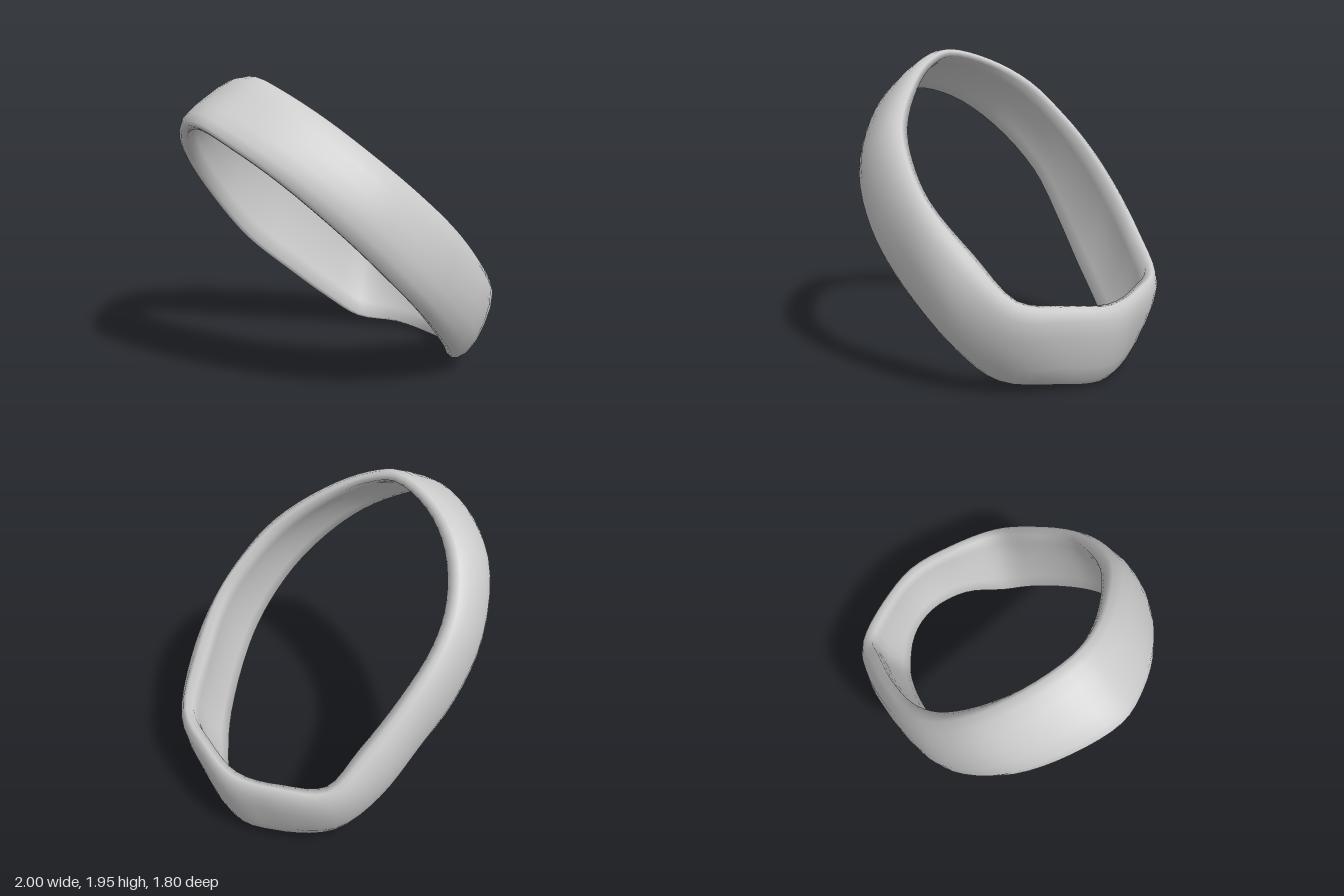
import * as THREE from 'three';

// Stations round the band: upper rim x y z, lower rim x y z, outward bulge
const STATIONS = [
  [0.96, 0.50, 0.00, 0.83, 0.00, 0.00, 0.08],
  [0.89, 0.53, 0.30, 0.75, 0.03, 0.28, 0.08],
  [0.76, 0.58, 0.60, 0.54, 0.06, 0.52, 0.10],
  [0.50, 0.83, 0.72, 0.35, 0.23, 0.67, 0.14],
  [0.20, 1.11, 0.79, 0.00, 0.57, 0.79, 0.11],
  [-0.03, 1.33, 0.74, -0.25, 0.82, 0.80, 0.11],
  [-0.22, 1.52, 0.63, -0.52, 1.12, 0.70, 0.11],
  [-0.41, 1.74, 0.39, -0.78, 1.43, 0.45, 0.08],
  [-0.53, 1.88, 0.16, -0.93, 1.61, 0.18, 0.06],
  [-0.57, 1.94, -0.05, -0.995, 1.70, -0.06, 0.05],
  [-0.51, 1.87, -0.36, -0.92, 1.63, -0.36, 0.07],
  [-0.38, 1.72, -0.61, -0.75, 1.42, -0.62, 0.11],
  [-0.20, 1.50, -0.76, -0.47, 1.08, -0.78, 0.11],
  [0.00, 1.30, -0.81, -0.20, 0.74, -0.77, 0.11],
  [0.27, 1.05, -0.78, 0.08, 0.47, -0.68, 0.12],
  [0.54, 0.79, -0.70, 0.36, 0.22, -0.59, 0.13],
  [0.76, 0.58, -0.60, 0.56, 0.06, -0.47, 0.10],
  [0.89, 0.53, -0.32, 0.75, 0.03, -0.26, 0.08],
];

// Section: place across the band (1 upper rim, -1 lower rim), share of bulge, fixed offset
const SECTION = [
  [1, 0, 0], [0.95, 0.12, 0.018], [0.75, 0.5, 0.02], [0.4, 0.86, 0.008], [0, 1, 0],
  [-0.4, 0.86, 0.008], [-0.75, 0.5, 0.02], [-0.95, 0.12, 0.018], [-1, 0, 0],
  [-0.95, -0.25, -0.02], [-0.6, -0.2, -0.015], [0, -0.1, -0.005],
  [0.6, -0.2, -0.015], [0.95, -0.25, -0.02],
];

function closedCurve(toPoint) {
  return new THREE.CatmullRomCurve3(STATIONS.map(toPoint), true);
}

// Sweeps the section between the two rims
function bandGeometry(steps) {
  const upper = closedCurve(s => new THREE.Vector3(s[0], s[1], s[2]));
  const lower = closedCurve(s => new THREE.Vector3(s[3], s[4], s[5]));
  const bulge = closedCurve((s, i) => new THREE.Vector3(s[6], i, 0));
  const mid = t => upper.getPoint(t).add(lower.getPoint(t)).multiplyScalar(0.5);
  const positions = [], index = [], m = SECTION.length;

  for (let i = 0; i < steps; i++) {
    const t = i / steps;
    const centre = mid(t);
    const half = upper.getPoint(t).sub(centre);
    const tangent = mid((t + 0.025) % 1).sub(mid((t + 0.975) % 1));
    const outward = half.clone().cross(tangent).normalize();
    const swell = bulge.getPoint(t).x;
    SECTION.forEach(([across, share, offset], j) => {
      const p = centre.clone().addScaledVector(half, across)
        .addScaledVector(outward, share * swell + offset);
      positions.push(p.x, p.y, p.z);
      const next = (i + 1) % steps, k = (j + 1) % m;
      const a = i * m + j, b = next * m + j, c = next * m + k, d = i * m + k;
      index.push(a, b, d, b, c, d);
    });
  }

  const geometry = new THREE.BufferGeometry();
  geometry.setAttribute('position', new THREE.Float32BufferAttribute(positions, 3));
  geometry.setIndex(index);
  geometry.computeVertexNormals();
  return geometry;
}

export function createModel() {
  const group = new THREE.Group();
  group.name = 'tiltedRing';
  const band = new THREE.Mesh(
    bandGeometry(72),
    new THREE.MeshStandardMaterial({ color: 0xcccccc })
  );
  band.name = 'band';
  group.add(band);
  return group;
}
